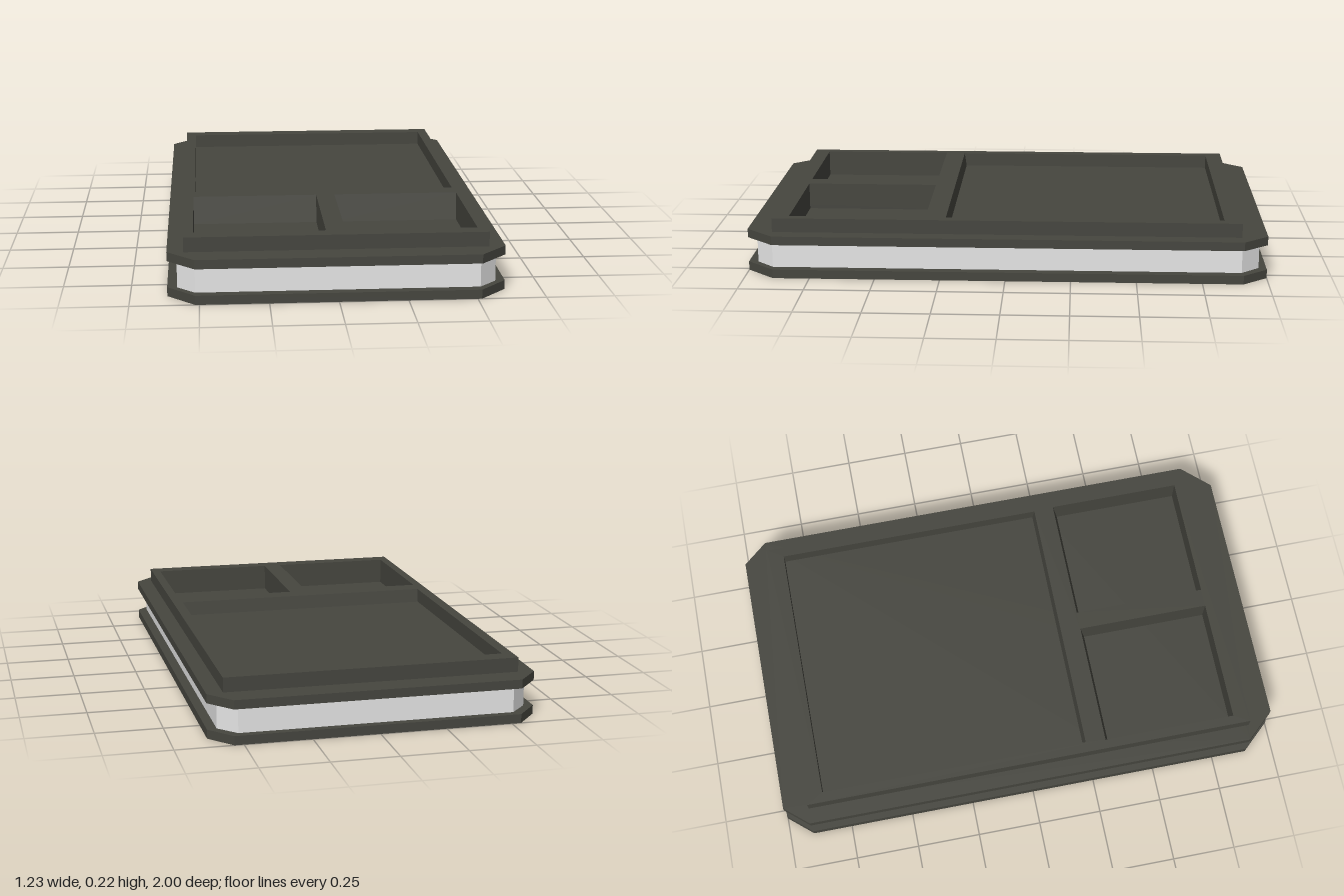
import * as THREE from 'three';

// Shape in plan: points are [x, z]
function planShape(points) {
  return new THREE.Shape(points.map(([x, z]) => new THREE.Vector2(x, -z)));
}

const rect = (x0, x1, z0, z1) => [[x0, z0], [x1, z0], [x1, z1], [x0, z1]];

// Rectangle with cut corners; the back and front cuts differ slightly
function cutOutline(w, back, front, backX, backZ, frontX, frontZ) {
  return [
    [-backX, -back], [backX, -back], [w, -backZ], [w, frontZ],
    [frontX, front], [-frontX, front], [-w, frontZ], [-w, -backZ],
  ];
}

export function createModel() {
  const model = new THREE.Group();
  const dark = new THREE.MeshStandardMaterial({ color: 0x46463f });
  dark.name = 'dark olive grey';
  const light = new THREE.MeshStandardMaterial({ color: 0xe6e6e6 });
  light.name = 'light grey';

  function add(name, geometry, material) {
    const mesh = new THREE.Mesh(geometry, material);
    mesh.name = name;
    model.add(mesh);
  }

  // Flat layer between two heights; openings wind the other way so their walls face inwards
  function layer(name, outline, y0, y1, material, holes = []) {
    const shape = planShape(outline);
    shape.holes = holes.map((hole) => planShape([...hole].reverse()));
    const geometry = new THREE.ExtrudeGeometry(shape, { depth: y1 - y0, bevelEnabled: false });
    geometry.rotateX(-Math.PI / 2).translate(0, y0, 0);
    add(name, geometry, material);
  }

  // Sloped wall: triangular section in z and y, run along x
  function slope(name, x0, x1, section) {
    const shape = new THREE.Shape(section.map(([z, y]) => new THREE.Vector2(z, y)));
    const geometry = new THREE.ExtrudeGeometry(shape, { depth: x1 - x0, bevelEnabled: false });
    geometry.rotateY(-Math.PI / 2).translate(x1, 0, 0);
    add(name, geometry, dark);
  }

  const plate = cutOutline(0.616, 1, 1, 0.535, 0.905, 0.515, 0.89);
  const coreOutline = cutOutline(0.58, 0.97, 0.963, 0.515, 0.9, 0.515, 0.895);
  const wells = [rect(-0.52, -0.037, 0.311, 0.836), rect(0.035, 0.52, 0.311, 0.836)];
  const tray = rect(-0.54, 0.54, 0.28, 0.86);
  const floorY = 0.115;
  const plateY = 0.132;
  const rimY = 0.166;
  const topY = 0.221;

  // Stacked body
  layer('basePlate', plate, 0, 0.034, dark);
  layer('core', coreOutline, 0.034, plateY, light, [tray]);
  layer('upperPlate', plate, plateY, rimY, dark, wells);

  // Tray under the two small wells
  layer('wellFloor', tray, 0.034, floorY, dark);
  layer('wellWalls', tray, floorY, plateY, dark, wells);

  // Raised frame around one large recess and two small wells
  layer('raisedFrame', rect(-0.555, 0.555, -0.9, 0.898), rimY, topY, dark,
    [rect(-0.514, 0.515, -0.834, 0.231), ...wells]);

  // Drafted walls on either side of the crossbar
  slope('recessSlope', -0.514, 0.515, [[0.231, rimY], [0.231, topY], [0.223, rimY]]);
  for (const [x0, x1] of [[-0.52, -0.037], [0.035, 0.52]]) {
    slope('wellSlope', x0, x1, [[0.311, floorY], [0.331, floorY], [0.311, topY]]);
  }

  return model;
}
